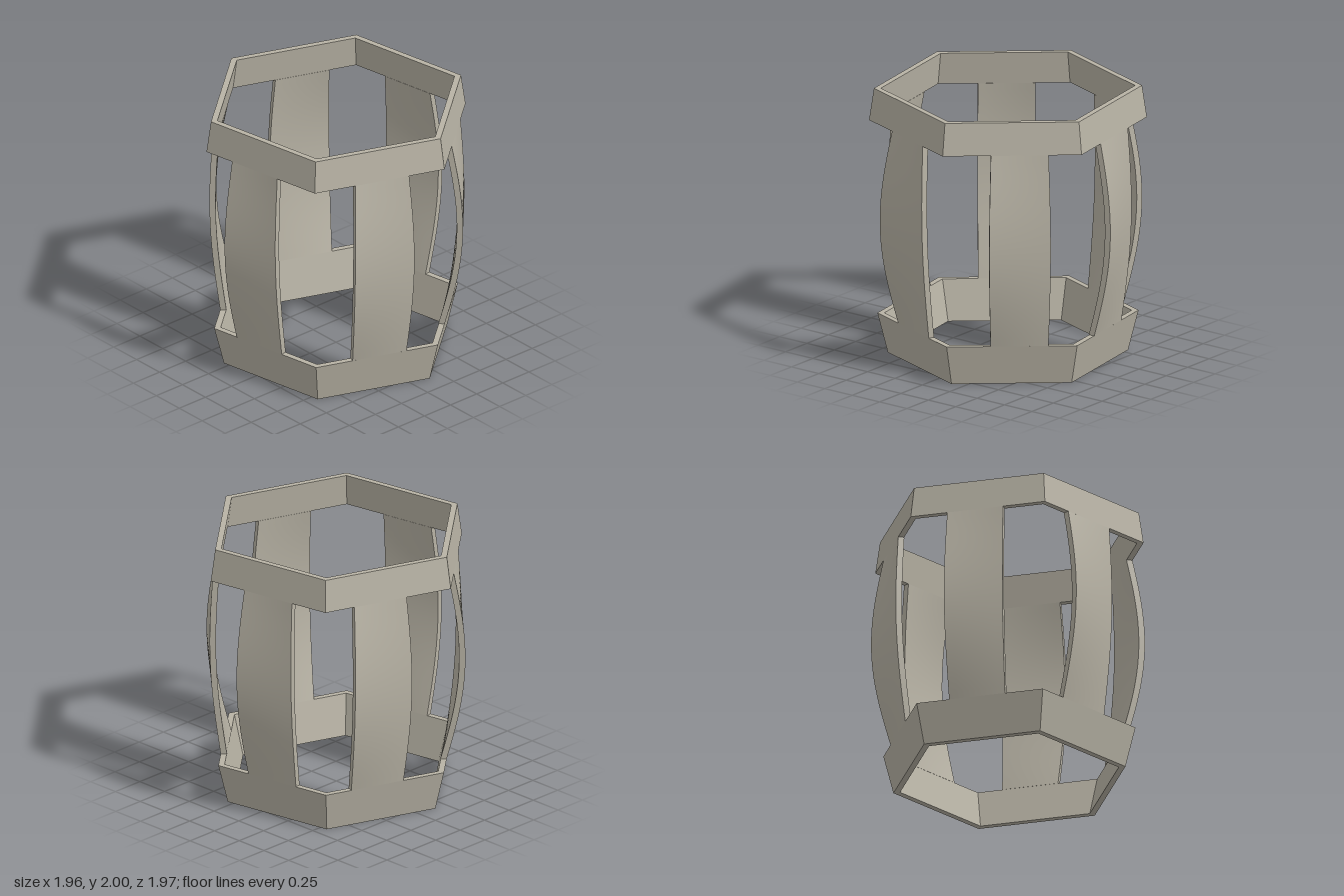
import * as THREE from 'three';
import { toCreasedNormals } from 'three/addons/utils/BufferGeometryUtils.js';

const rad = THREE.MathUtils.degToRad;
const Y0 = 0.3, Y1 = 1.76;      // window bottom and top
const N0 = 0.814, N1 = 0.866;   // face distance from the axis at those heights
const WALL = 0.045;

// Six-sided sloped band, given its corner radius at the lower and upper rim
function hexBand(name, material, y0, r0, y1, r1) {
  const t = 0.05;
  const loop = [[r0, y0], [r1, y1], [r1 - t, y1], [r0 - t, y0], [r0, y0]]
    .map(([r, y]) => new THREE.Vector2(r, y));
  const geo = new THREE.LatheGeometry(loop, 6, rad(70)).toNonIndexed();
  geo.computeVertexNormals();
  const mesh = new THREE.Mesh(geo, material);
  mesh.name = name;
  return mesh;
}

// Bowed stave: flat at both ends, bulging and leaning to one side in the middle
function stave(material, offset, midWidth) {
  const geo = new THREE.BoxGeometry(2, 1, 1, 8, 28, 1);
  const p = geo.attributes.position;
  for (let i = 0; i < p.count; i++) {
    const s = p.getX(i);
    const u = p.getY(i) + 0.5;
    const bow = Math.sin(Math.PI * u);
    const half = THREE.MathUtils.lerp(0.208, midWidth / 2, bow);
    const lean = 0.079 - 0.03 * s;
    const n = THREE.MathUtils.lerp(N0, N1, u) + bow * lean;
    const inner = p.getZ(i) < 0;
    p.setXYZ(i, offset + s * half, Y0 + u * (Y1 - Y0), inner ? n - WALL : n);
  }
  return new THREE.Mesh(toCreasedNormals(geo, rad(40)), material);
}

export function createModel() {
  const group = new THREE.Group();
  group.name = 'hexagonalCage';
  const stone = new THREE.MeshStandardMaterial({ color: 0xb8b3a5 });
  stone.name = 'warmGrey';

  group.add(hexBand('bottomBand', stone, 0, 0.865, Y0, 0.94));
  group.add(hexBand('topBand', stone, Y1, 1.0, 2, 0.965));

  // One stave per face: direction, sideways offset, width at mid-height
  const staves = [
    [50, 0.055, 0.445], [110, 0.02, 0.48], [170, -0.055, 0.42],
    [230, -0.02, 0.42], [290, -0.06, 0.48], [350, 0, 0.435],
  ];
  staves.forEach(([angle, offset, width], i) => {
    const mesh = stave(stone, offset, width);
    mesh.rotation.y = rad(90 - angle);
    mesh.name = `stave${i + 1}`;
    group.add(mesh);
  });
  return group;
}
